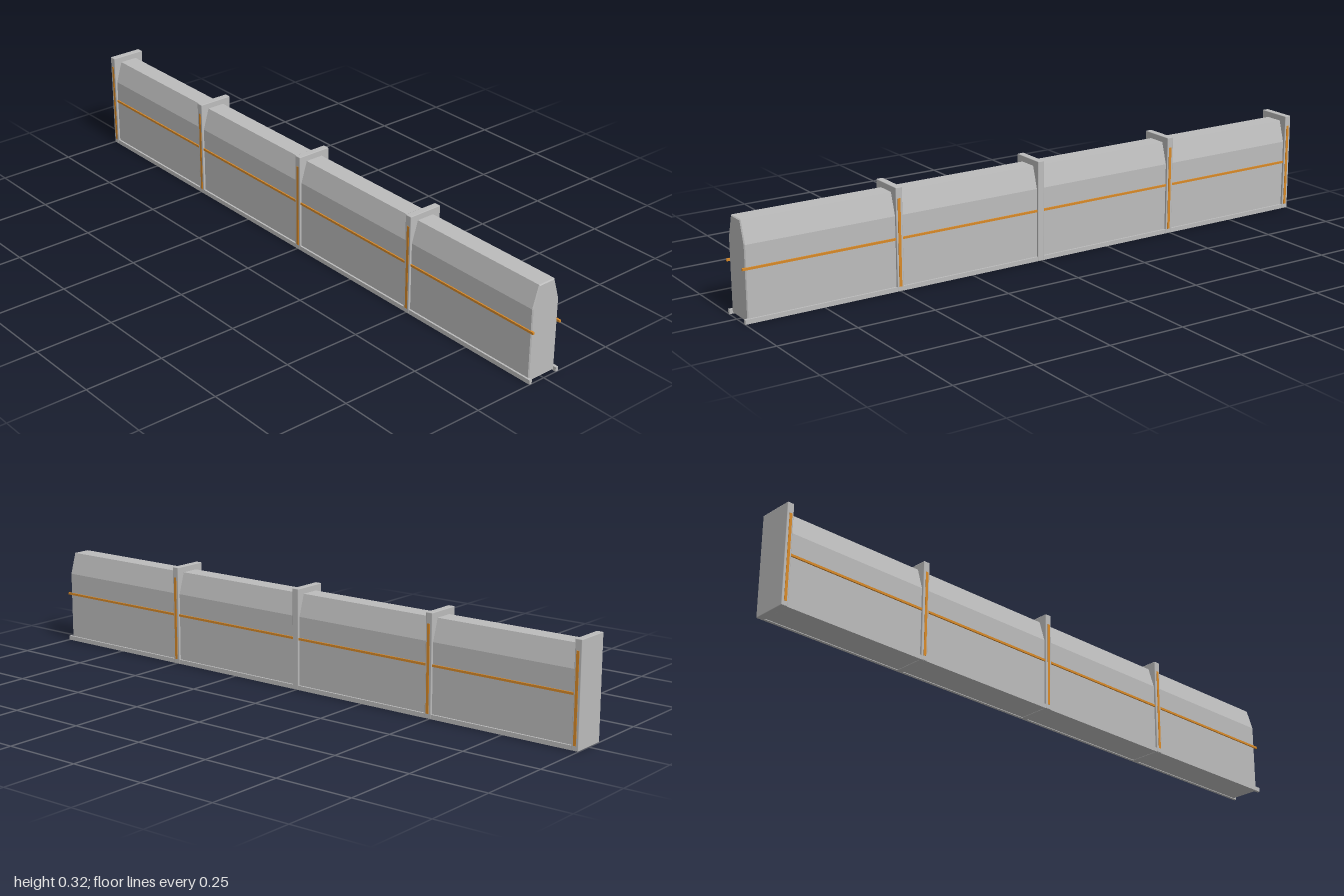
import * as THREE from 'three';
import { RoundedBoxGeometry } from 'three/addons/geometries/RoundedBoxGeometry.js';

export function createModel() {
  const model = new THREE.Group();
  model.name = 'barrierWall';
  const grey = new THREE.MeshStandardMaterial({ color: 0xbcbcbc });
  grey.name = 'concrete grey';
  const orange = new THREE.MeshStandardMaterial({ color: 0xd98a28 });
  orange.name = 'orange trim';

  const add = (name, geometry, material, x, y, z) => {
    const mesh = new THREE.Mesh(geometry, material);
    mesh.name = name;
    mesh.position.set(x, y, z);
    model.add(mesh);
    return mesh;
  };

  // Wall: tapered section with a small chamfer at each end, run along x
  const b = 0.003;
  const section = new THREE.Shape([
    [-0.047, 0.005], [0.047, 0.005], [0.047, 0.23], [0.027, 0.296], [-0.027, 0.296], [-0.047, 0.23],
  ].map(([z, y]) => new THREE.Vector2(z, y)));
  const wall = new THREE.ExtrudeGeometry(section, {
    depth: 1.975 - 2 * b, bevelEnabled: true, bevelThickness: b, bevelSize: b, bevelSegments: 1,
  });
  wall.rotateY(Math.PI / 2);
  add('wall', wall, grey, -0.985 + b, 0, 0);

  // Posts wrapping the wall, with trim strips on their faces
  const post = new RoundedBoxGeometry(0.022, 0.318, 0.114, 1, 0.002);
  const strip = new THREE.BoxGeometry(0.009, 0.27, 0.004);
  [-0.989, -0.494, 0.003, 0.5].forEach((x, i) => {
    add('post', post, grey, x, 0.159, 0);
    add('frontStrip', strip, orange, x + 0.001, 0.15, 0.056);
    if (i !== 2) add('backStrip', strip, orange, x + 0.001, 0.15, -0.0565);
  });

  // Base rails and trim lines run past the open end on both sides
  const rail = new THREE.BoxGeometry(1.998, 0.014, 0.009);
  const line = new THREE.BoxGeometry(1.998, 0.007, 0.006);
  for (const side of [1, -1]) {
    add('baseRail', rail, grey, 0.001, 0.007, side * 0.0515);
    add('trimLine', line, orange, 0.001, 0.161, side * 0.051);
  }
  return model;
}
